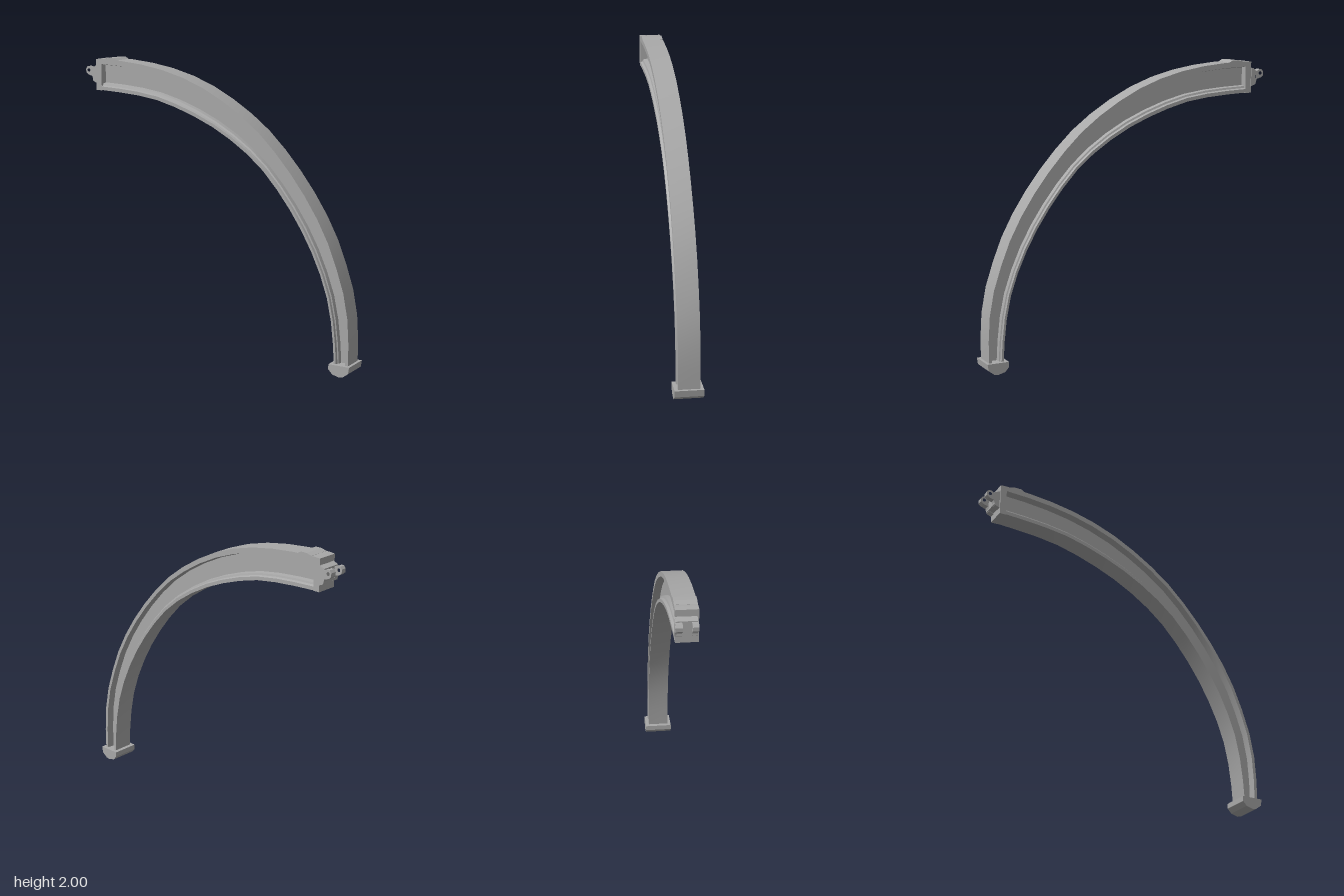
import * as THREE from 'three';
import { toCreasedNormals } from 'three/addons/utils/BufferGeometryUtils.js';

const steel = new THREE.MeshStandardMaterial({ color: 0xa8a8a8 });
steel.name = 'grey steel';
const W = 0.072; // half width of the rib

const curve = (pts) =>
  new THREE.CatmullRomCurve3(pts.map(([x, y]) => new THREE.Vector3(x, y, 0)));

// Outer and inner edges of the arch, from the crown down to the foot
const outer = curve([[-0.94, 1.99], [-0.7, 1.98], [-0.42, 1.94], [-0.15, 1.86], [0.1, 1.735],
  [0.33, 1.575], [0.53, 1.375], [0.7, 1.16], [0.84, 0.93], [0.935, 0.7], [0.995, 0.5], [1.02, 0.3], [1.022, 0.05]]);
const inner = curve([[-0.94, 1.773], [-0.77, 1.765], [-0.48, 1.735], [-0.19, 1.65], [0.04, 1.55],
  [0.27, 1.405], [0.4, 1.29], [0.56, 1.1], [0.675, 0.93], [0.79, 0.71], [0.87, 0.48], [0.906, 0.25], [0.92, 0.05]]);

// I-beam half section: [distance from the inner edge, half width]
function halfSection(depth) {
  const k = Math.max(0.6, depth / 0.22);
  return [[0, W], [0.025 * k, W], [0.032 * k, 0.056], [0.045 * k, 0.052], [0.05 * k, 0.022],
    [depth - 0.045 * k, 0.022], [depth - 0.036 * k, W], [depth, W]];
}

function ribGeometry(steps) {
  const a = inner.getSpacedPoints(steps), b = outer.getSpacedPoints(steps);
  const pos = [], index = [];
  let n = 0;
  for (let i = 0; i <= steps; i++) {
    const depth = a[i].distanceTo(b[i]);
    const half = halfSection(depth);
    const ring = [...half.map(([t, w]) => [t, -w]), ...half.slice().reverse()];
    n = ring.length;
    for (const [t, w] of ring) {
      const p = a[i].clone().lerp(b[i], t / depth);
      pos.push(p.x, p.y, w);
    }
  }
  for (let i = 0; i < steps; i++) {
    for (let j = 0; j < n; j++) {
      const p = i * n + j, q = i * n + (j + 1) % n;
      index.push(p, q, q + n, p, q + n, p + n);
    }
  }
  const g = new THREE.BufferGeometry();
  g.setAttribute('position', new THREE.Float32BufferAttribute(pos, 3));
  g.setIndex(index);
  return toCreasedNormals(g, 0.5);
}

// Flat profile extruded across the width, from z0 to z1
function slab(points, z0, z1, holes = []) {
  const shape = new THREE.Shape(points.map(([x, y]) => new THREE.Vector2(x, y)));
  for (const [x, y, r] of holes) {
    shape.holes.push(new THREE.Path().absarc(x, y, r, 0, Math.PI * 2, true));
  }
  const g = new THREE.ExtrudeGeometry(shape, { depth: z1 - z0, bevelEnabled: false, curveSegments: 8 });
  return g.translate(0, 0, z0);
}

export function createModel() {
  const model = new THREE.Group();
  model.name = 'archRib';
  const add = (name, geometry) => {
    const mesh = new THREE.Mesh(geometry, steel);
    mesh.name = name;
    model.add(mesh);
  };

  add('archBeam', ribGeometry(18));

  // Solid end wall at the crown, with a low ridge on top
  add('endWall', slab([[-0.977, 1.77], [-0.932, 1.77], [-0.932, 1.99], [-0.977, 1.987]], -W, W));
  add('topRidge', slab([[-0.91, 1.97], [-0.8, 1.97], [-0.8, 1.986], [-0.825, 2], [-0.87, 2], [-0.91, 1.99]], -W, W));

  // Hinge: a short base and two drilled lugs
  add('hingeBase', slab([[-1.015, 1.835], [-0.97, 1.82], [-0.97, 1.945], [-1.015, 1.93]], -W, 0.06));
  const lug = [[-0.975, 1.815], [-1.01, 1.83], [-1.02, 1.865], [-1.055, 1.875], [-1.072, 1.89],
    [-1.073, 1.915], [-1.06, 1.932], [-1.04, 1.932], [-1.02, 1.92], [-0.975, 1.945]];
  for (const [z0, z1] of [[-W - 0.006, -0.035], [0.025, 0.062]]) {
    add('hingeLug', slab(lug, z0, z1, [[-1.048, 1.906, 0.012], [-0.998, 1.88, 0.018]]));
  }

  // Foot shoe with a blunt, keeled underside
  add('foot', slab([[0.89, 0.08], [0.89, 0.045], [0.918, 0.014], [0.97, 0],
    [0.995, 0.005], [1.035, 0.035], [1.042, 0.08]], -0.095, 0.095));

  model.rotation.y = -Math.PI / 6;
  const root = new THREE.Group();
  root.name = 'archSegment';
  root.add(model);
  return root;
}
